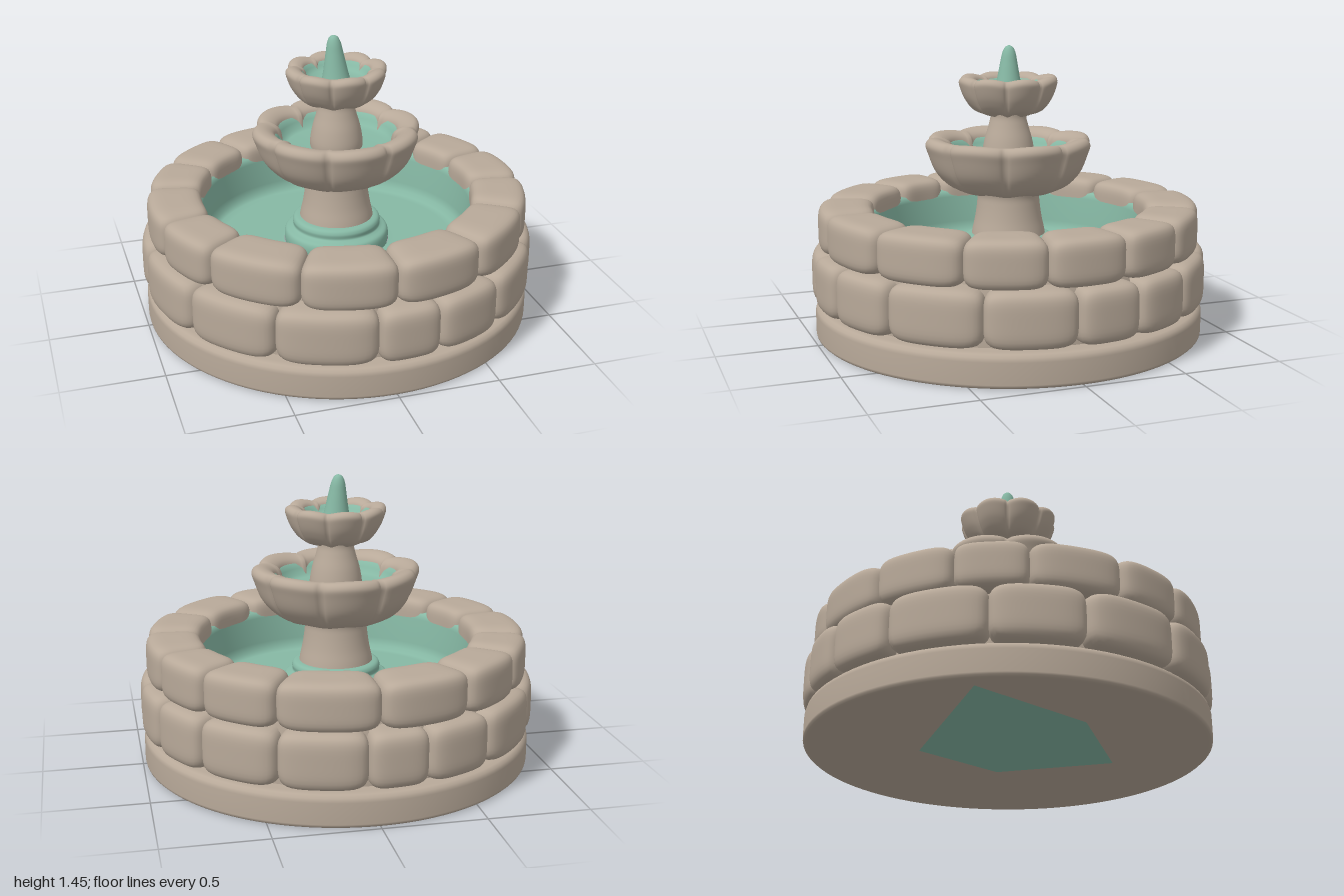
import * as THREE from 'three';
import { mergeVertices } from 'three/addons/utils/BufferGeometryUtils.js';

const stone = new THREE.MeshStandardMaterial({ color: 0xb8a999 });
stone.name = 'stone';
const water = new THREE.MeshStandardMaterial({ color: 0x86b8a4 });
water.name = 'water';

// Weld vertices and recompute smooth normals
function smooth(geometry) {
  geometry.deleteAttribute('uv');
  geometry.deleteAttribute('normal');
  const welded = mergeVertices(geometry, 1e-5);
  welded.computeVertexNormals();
  return welded;
}

function part(name, geometry, material) {
  const mesh = new THREE.Mesh(geometry, material);
  mesh.name = name;
  return mesh;
}

// Turned shape; curved profiles are splined, lobes pinch it into petals
function turned(profile, { curved = 0, lobes = 0, depth = 0, segments = 96 } = {}) {
  let points = profile.map(([r, y]) => new THREE.Vector2(r, y));
  if (curved) points = new THREE.SplineCurve(points).getPoints(curved);
  points.forEach((p) => { p.x = Math.max(p.x, 0); });
  const geometry = new THREE.LatheGeometry(points, segments);
  if (lobes) {
    const pos = geometry.attributes.position;
    for (let i = 0; i < pos.count; i++) {
      const x = pos.getX(i), z = pos.getZ(i);
      const swell = Math.abs(Math.cos(Math.atan2(x, z) * lobes / 2));
      const k = 1 - depth * (1 - Math.sqrt(swell));
      pos.setXYZ(i, x * k, pos.getY(i) - 0.12 * depth * (1 - swell), z * k);
    }
  }
  return smooth(geometry);
}

// Pillow-shaped block bent around the ring between two angles (degrees)
function block(a0, a1, y0, y1, r0, r1) {
  const geometry = new THREE.BoxGeometry(2, 2, 2, 14, 12, 12);
  const pos = geometry.attributes.position;
  const p = 5;
  const mid = THREE.MathUtils.degToRad((a0 + a1) / 2);
  const half = THREE.MathUtils.degToRad((a1 - a0) / 2 + 0.3);
  for (let i = 0; i < pos.count; i++) {
    const c = [pos.getX(i), pos.getY(i), pos.getZ(i)];
    const n = Math.pow(c.reduce((s, v) => s + Math.abs(v) ** p, 0), 1 / p);
    const [u, v, w] = c.map((t) => t / n);
    const angle = mid + half * u;
    const r = (r0 + r1) / 2 + (r1 - r0) / 2 * w;
    pos.setXYZ(i, r * Math.cos(angle), (y0 + y1) / 2 + (y1 - y0) / 2 * v, -r * Math.sin(angle));
  }
  return smooth(geometry);
}

function course(name, seams, ...size) {
  const group = new THREE.Group();
  group.name = name;
  seams.forEach((a, i) => {
    const next = i + 1 < seams.length ? seams[i + 1] : seams[0] + 360;
    group.add(part('stoneBlock', block(a, next, ...size), stone));
  });
  return group;
}

export function createModel() {
  const model = new THREE.Group();
  model.name = 'fountain';

  // Round base slab
  model.add(part('base', turned([
    [0, 0.002], [0.96, 0.002], [0.975, 0.002], [0.984, 0.01], [0.986, 0.02], [0.986, 0.125],
    [0.98, 0.145], [0.965, 0.157], [0.94, 0.162], [0.6, 0.162],
  ]), stone));

  // Pale patch set flush in the underside
  const patch = new THREE.Shape([[0.30, 0.06], [0.13, -0.41], [-0.76, -0.46], [-0.53, 0.17], [-0.05, 0.54]]
    .map(([x, z]) => new THREE.Vector2(x, z)));
  const patchGeometry = new THREE.ShapeGeometry(patch);
  patchGeometry.rotateX(Math.PI / 2);
  model.add(part('undersidePatch', patchGeometry, water));

  // Core wall behind the blocks
  model.add(part('wallCore', turned([[0.89, 0.15], [0.89, 0.42], [0.85, 0.45], [0.85, 0.6], [0.72, 0.6]]), stone));

  // Two courses of rounded blocks
  model.add(course('lowerCourse',
    [-152, -124, -95, -77, -55, -27, -1, 18, 38, 62, 87, 104, 125, 153, 179], 0.17, 0.445, 0.72, 1.0));
  model.add(course('upperCourse',
    [-241, -217, -196, -169, -146, -117, -89, -61, -33, -9, 15, 37, 61, 91], 0.435, 0.668, 0.685, 0.963));

  // Basin lining, water floor and the wet foot of the pedestal
  model.add(part('basinWater', turned([
    [0.74, 0.6], [0.7, 0.59], [0.685, 0.56], [0.675, 0.42], [0.665, 0.38], [0.64, 0.362],
    [0.6, 0.36], [0.3, 0.36], [0.27, 0.362],
  ]), water));
  model.add(part('pedestalFoot', turned([
    [0.262, 0.34], [0.268, 0.39], [0.26, 0.425], [0.232, 0.44], [0.222, 0.45], [0.224, 0.475],
    [0.205, 0.495], [0.14, 0.5],
  ], { curved: 40 }), water));

  // Pedestal under the large bowl
  model.add(part('lowerColumn', turned([
    [0.19, 0.48], [0.183, 0.52], [0.17, 0.58], [0.16, 0.65], [0.158, 0.7], [0.175, 0.75],
  ], { curved: 24 }), stone));

  // Large petalled bowl
  model.add(part('largeBowl', turned([
    [0.1, 0.72], [0.2, 0.72], [0.3, 0.75], [0.375, 0.825], [0.415, 0.92], [0.427, 0.965],
    [0.405, 0.992], [0.36, 0.99], [0.32, 0.965], [0.305, 0.92], [0.3, 0.86],
  ], { curved: 60, lobes: 8, depth: 0.1, segments: 144 }), stone));
  model.add(part('largeBowlWater', turned([
    [0.32, 0.95], [0.305, 0.945], [0.29, 0.92], [0.275, 0.89], [0.25, 0.878], [0.1, 0.875],
  ]), water));

  // Column between the bowls
  model.add(part('upperColumn', turned([
    [0.13, 0.86], [0.132, 0.91], [0.12, 0.98], [0.1, 1.05], [0.09, 1.1], [0.1, 1.15],
  ], { curved: 24 }), stone));

  // Small petalled bowl
  model.add(part('smallBowl', turned([
    [0.05, 1.11], [0.11, 1.113], [0.18, 1.135], [0.225, 1.19], [0.25, 1.25], [0.254, 1.28],
    [0.235, 1.298], [0.2, 1.295], [0.172, 1.27], [0.165, 1.2],
  ], { curved: 60, lobes: 8, depth: 0.12, segments: 144 }), stone));
  model.add(part('smallBowlWater', turned([
    [0.18, 1.272], [0.168, 1.268], [0.158, 1.25], [0.14, 1.228], [0.1, 1.22], [0, 1.22],
  ]), water));

  // Water jet at the top, leaning slightly
  const jet = turned([
    [0.075, 1.21], [0.065, 1.25], [0.055, 1.3], [0.044, 1.36], [0.034, 1.41], [0.02, 1.44], [0, 1.45],
  ], { curved: 40, segments: 32 });
  const pos = jet.attributes.position;
  for (let i = 0; i < pos.count; i++) {
    const lean = (pos.getY(i) - 1.2) / 0.25;
    pos.setX(i, pos.getX(i) - 0.012 * lean);
    pos.setZ(i, pos.getZ(i) - 0.008 * lean);
  }
  jet.computeVertexNormals();
  model.add(part('waterJet', jet, water));

  return model;
}
